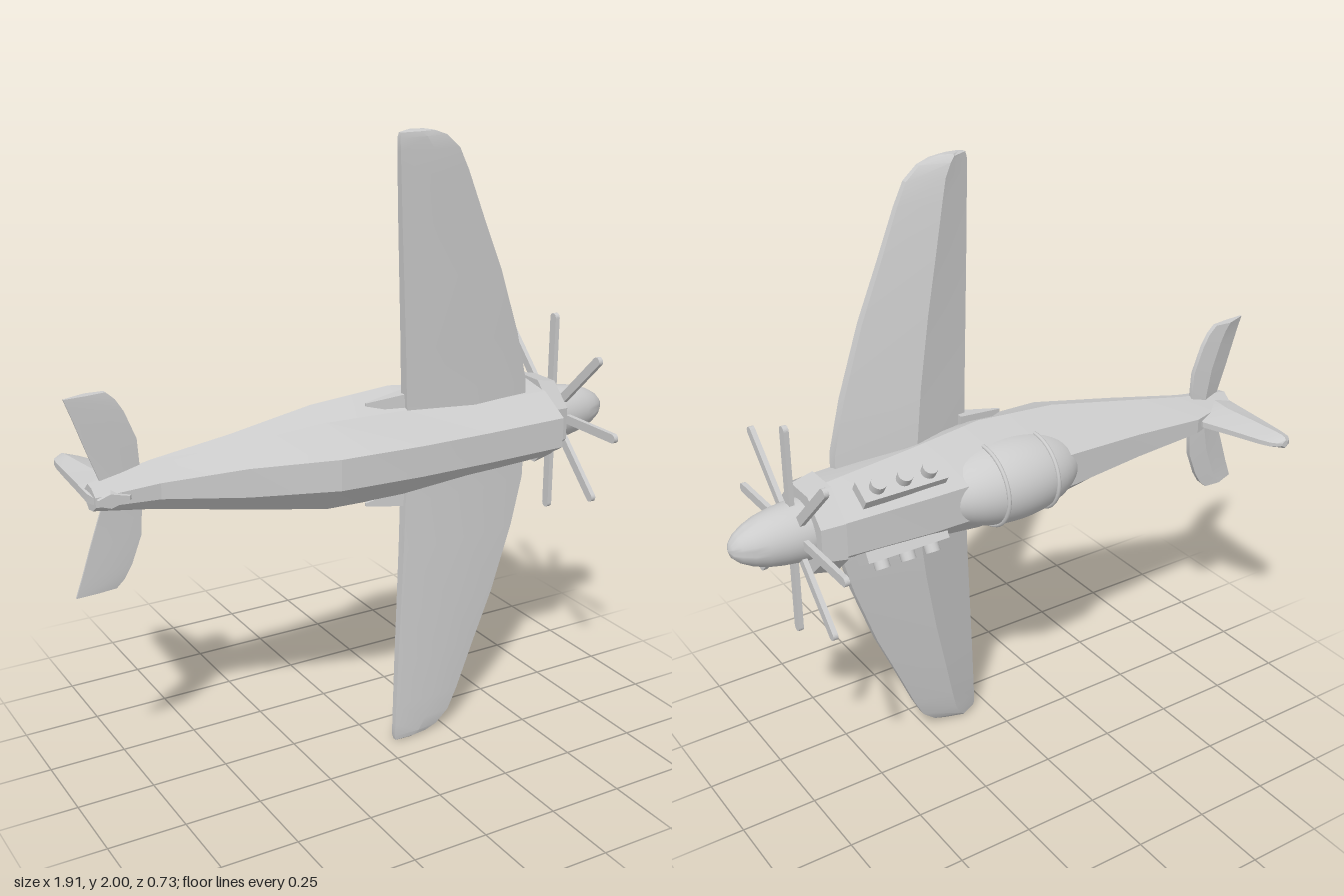
import * as THREE from 'three';
import { toCreasedNormals } from 'three/addons/utils/BufferGeometryUtils.js';

const material = new THREE.MeshStandardMaterial({ color: 0xcccccc });

function add(parent, name, geometry) {
  const mesh = new THREE.Mesh(geometry, material);
  mesh.name = name;
  parent.add(mesh);
  return mesh;
}

// Skin a closed surface over equal-length rings of [x, y, z]; always faces outward.
function loft(rings, crease) {
  const n = rings[0].length, tris = [];
  const cap = (r) => {
    const c = [0, 1, 2].map((k) => r.reduce((sum, p) => sum + p[k], 0) / n);
    return r.map((p, i) => [c, p, r[(i + 1) % n]]);
  };
  for (let j = 0; j < rings.length - 1; j++) {
    for (let i = 0; i < n; i++) {
      const k = (i + 1) % n;
      const [a, b, c, d] = [rings[j][i], rings[j][k], rings[j + 1][k], rings[j + 1][i]];
      tris.push([a, b, c], [a, c, d]);
    }
  }
  cap(rings[0]).forEach(([c, p, q]) => tris.push([c, q, p]));
  cap(rings[rings.length - 1]).forEach((t) => tris.push(t));
  const vec = (p) => new THREE.Vector3(...p);
  const volume = tris.reduce((s, [a, b, c]) => s + vec(a).dot(vec(b).cross(vec(c))), 0);
  if (volume < 0) tris.forEach((t) => t.reverse());
  const geometry = new THREE.BufferGeometry();
  geometry.setAttribute('position', new THREE.Float32BufferAttribute(tris.flat(2), 3));
  return toCreasedNormals(geometry, crease);
}

// Nose points to +x, wings spread along y, belly faces +z; body axis at y = 1.
export function createModel() {
  const plane = new THREE.Group();
  plane.name = 'airplane';

  // Faceted fuselage: x, top z, top half width, side z, side half width,
  // lower z, lower half width, belly z, belly half width
  const stations = [
    [-0.9, -0.04, 0.015, -0.01, 0.04, 0.02, 0.035, 0.05, 0.015],
    [-0.7, -0.11, 0.025, -0.02, 0.075, 0.01, 0.07, 0.055, 0.025],
    [-0.45, -0.112, 0.04, 0.0, 0.118, 0.06, 0.105, 0.125, 0.045],
    [-0.18, -0.13, 0.055, 0.01, 0.17, 0.11, 0.14, 0.205, 0.05],
    [0.1, -0.135, 0.06, 0.01, 0.19, 0.12, 0.138, 0.222, 0.05],
    [0.35, -0.135, 0.06, 0.005, 0.162, 0.12, 0.122, 0.222, 0.05],
    [0.645, -0.12, 0.055, 0.0, 0.135, 0.11, 0.115, 0.215, 0.05],
  ];
  add(plane, 'fuselage', loft(stations.map(([x, zt, wt, zs, ws, zl, wl, zb, wb]) => {
    const half = [[wt, zt], [ws, zs], [wl, zl], [wb, zb]];
    const other = half.map(([w, z]) => [-w, z]).reverse();
    return [...half, ...other].map(([w, z]) => [x, 1 + w, z]);
  }), 0.2));

  // Wings: span, trailing x, leading x, bottom z, top z
  const wing = [
    [0.06, 0.108, 0.57, 0.12, 0.015],
    [0.17, 0.1, 0.565, 0.122, 0.022],
    [0.33, 0.09, 0.52, 0.13, 0.038],
    [0.55, 0.075, 0.44, 0.139, 0.058],
    [0.72, 0.063, 0.363, 0.146, 0.075],
    [0.87, 0.053, 0.297, 0.153, 0.09],
    [0.94, 0.048, 0.26, 0.156, 0.1],
    [0.98, 0.046, 0.212, 0.157, 0.107],
    [0.995, 0.05, 0.17, 0.155, 0.115],
    [1.0, 0.075, 0.14, 0.15, 0.12],
  ];
  // Tailplane: span, trailing x, leading x, centre z
  const tail = [
    [0.0, -0.85, -0.74, -0.02],
    [0.06, -0.872, -0.736, -0.02],
    [0.15, -0.905, -0.742, -0.018],
    [0.24, -0.936, -0.778, -0.016],
    [0.28, -0.951, -0.803, -0.015],
    [0.305, -0.96, -0.83, -0.015],
  ];
  for (const [side, s] of [['left', 1], ['right', -1]]) {
    add(plane, side + 'Wing', loft(wing.map(([w, xt, xl, zb, zt]) => {
      const t = zb - zt;
      return [[0, zb], [0.55, zb + 0.05 * t], [1, zb - 0.15 * t],
        [1, zb - 0.5 * t], [0.45, zt], [0, zb - 0.35 * t]]
        .map(([f, z]) => [xt + f * (xl - xt), 1 + s * w, z]);
    }), 0.35));

    // Pointed fairing behind the wing root
    add(plane, side + 'WingFairing', loft([[-0.025, 0.16, 0.17, 0.078, 0.085],
      [0.13, 0.12, 0.19, 0.06, 0.115]].map(([x, y0, y1, z0, z1]) =>
      [[y0, z0], [y1, z0], [y1, z1], [y0, z1]].map(([y, z]) => [x, 1 + s * y, z])), 0.2));

    add(plane, side + 'Tailplane', loft(tail.map(([w, xt, xl, z]) =>
      [[0, 0.012], [0.55, -0.014], [1, -0.01], [1, 0.006], [0.55, 0.014], [0, 0.018]]
        .map(([f, dz]) => [xt + f * (xl - xt), 1 + s * w, z + dz])), 0.35));

    // Exhaust plate with three round stubs on the upper side of the nose
    const exhaust = new THREE.Group();
    exhaust.name = side + 'Exhaust';
    exhaust.position.set(0.43, 1 + s * 0.108, -0.08);
    exhaust.rotation.x = s > 0 ? -0.55 : Math.PI + 0.55;
    add(exhaust, 'exhaustPlate', new THREE.BoxGeometry(0.28, 0.035, 0.075));
    for (const x of [-0.09, -0.005, 0.085]) {
      add(exhaust, 'exhaustStub', new THREE.CylinderGeometry(0.024, 0.024, 0.07, 16))
        .position.set(x, 0.01, 0);
    }
    plane.add(exhaust);
  }

  // Fin and rudder: z, trailing x, leading x, half thickness
  const fin = [
    [0.06, -0.895, -0.8, 0.022],
    [0.0, -0.908, -0.73, 0.035],
    [-0.11, -0.902, -0.722, 0.032],
    [-0.22, -0.897, -0.762, 0.029],
    [-0.31, -0.892, -0.792, 0.026],
    [-0.345, -0.887, -0.808, 0.024],
    [-0.362, -0.876, -0.825, 0.02],
    [-0.37, -0.862, -0.84, 0.014],
  ];
  add(plane, 'fin', loft(fin.map(([z, xt, xl, t]) =>
    [[0, -0.4], [0.4, -1], [1, -0.3], [1, 0.3], [0.4, 1], [0, 0.4]]
      .map(([f, k]) => [xt + f * (xl - xt), 1 + k * t, z])), 0.35));

  // Bubble canopy and its two frame hoops
  const canopy = add(plane, 'canopy', new THREE.SphereGeometry(1, 40, 28));
  canopy.scale.set(0.265, 0.135, 0.147);
  canopy.position.set(0.04, 1, -0.053);
  for (const x of [-0.07, 0.12]) {
    const f = Math.sqrt(1 - ((x - 0.04) / 0.265) ** 2);
    const hoop = add(plane, 'canopyHoop', new THREE.TorusGeometry(0.14, 0.007, 8, 48));
    hoop.rotation.y = Math.PI / 2;
    hoop.scale.set(f * 1.07, f * 0.98, 1);
    hoop.position.set(x, 1, -0.053);
  }

  // Nose assembly, built along local y and turned to face +x
  const nose = new THREE.Group();
  nose.name = 'nose';
  nose.position.set(0, 1, 0.014);
  nose.rotation.z = -Math.PI / 2;
  plane.add(nose);

  const ring = new THREE.CylinderGeometry(0.139, 0.155, 0.075, 8);
  ring.rotateY(Math.PI / 8);
  add(nose, 'cowling', toCreasedNormals(ring, 0.2)).position.y = 0.678;

  const profile = [[0, 0.7], [0.096, 0.7], [0.094, 0.75], [0.088, 0.8], [0.078, 0.85],
    [0.063, 0.89], [0.045, 0.922], [0.024, 0.943], [0, 0.952]];
  add(nose, 'spinner', toCreasedNormals(new THREE.LatheGeometry(
    profile.map(([r, y]) => new THREE.Vector2(r, y)), 40), 0.6));

  // Eight propeller blades with rounded tips
  const outline = new THREE.Shape();
  outline.moveTo(-0.015, 0.05);
  outline.lineTo(0.015, 0.05);
  outline.lineTo(0.015, 0.33);
  outline.absarc(0, 0.33, 0.015, 0, Math.PI, false);
  outline.lineTo(-0.015, 0.05);
  const blade = new THREE.ExtrudeGeometry(outline, { depth: 0.016, bevelEnabled: false, curveSegments: 6 });
  blade.translate(0, 0, -0.008);
  blade.rotateX(Math.PI / 2);
  for (let i = 0; i < 8; i++) {
    const b = add(nose, 'propellerBlade', blade);
    b.position.y = 0.748;
    b.rotation.y = (i * Math.PI) / 4;
  }
  return plane;
}
